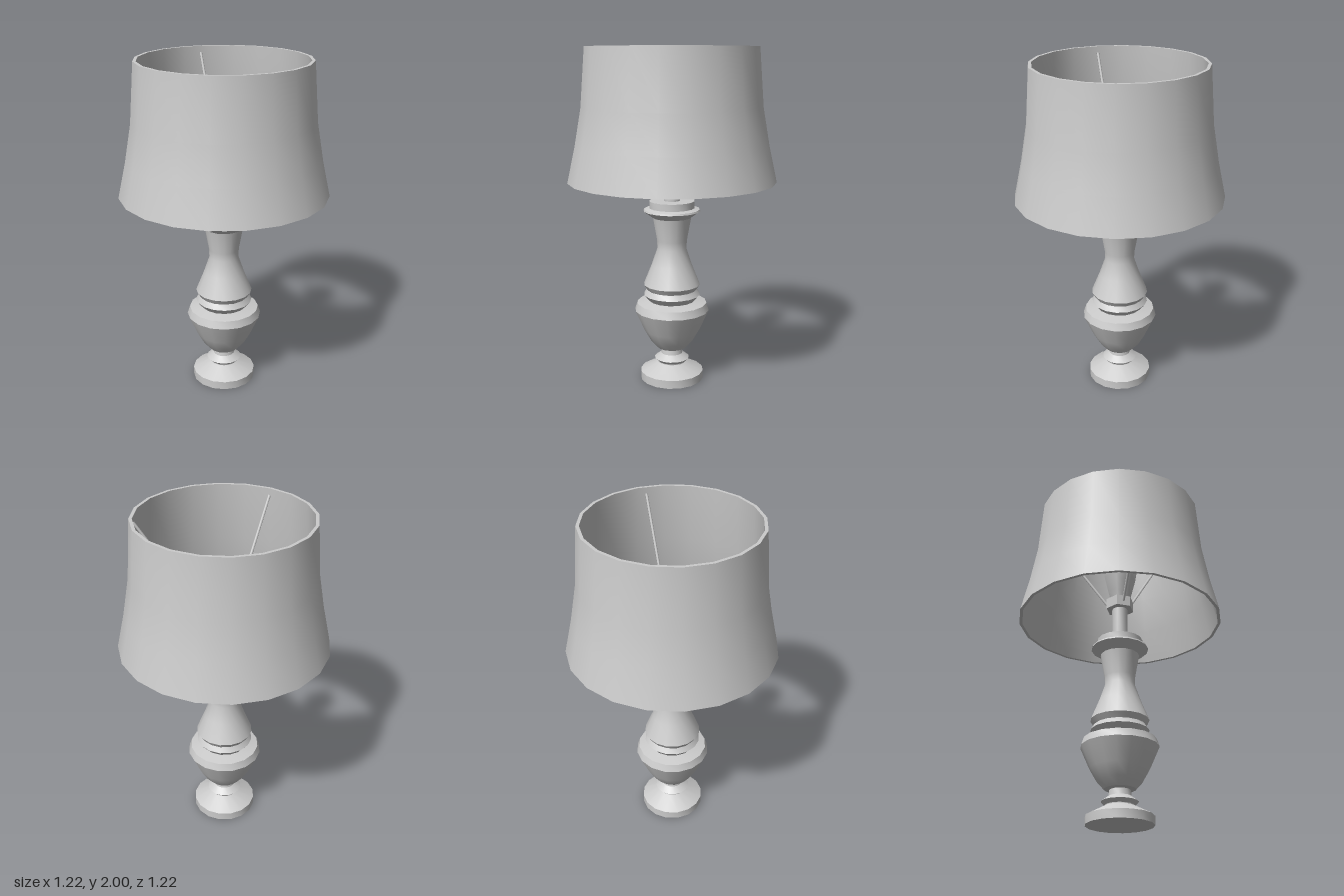
import * as THREE from 'three';
import { toCreasedNormals } from 'three/addons/utils/BufferGeometryUtils.js';

const material = new THREE.MeshStandardMaterial({ color: 0xcccccc });

// Turned part from a [radius, height] profile, with sharp ridges kept sharp
function turned(name, sides, profile, crease = 0.6) {
  const points = profile.map(([r, y]) => new THREE.Vector2(r, y));
  const geometry = toCreasedNormals(new THREE.LatheGeometry(points, sides), crease);
  const mesh = new THREE.Mesh(geometry, material);
  mesh.name = name;
  return mesh;
}

// Thin rod between two points
function rod(name, from, to, radius) {
  const direction = to.clone().sub(from);
  const mesh = new THREE.Mesh(new THREE.CylinderGeometry(radius, radius, direction.length(), 6), material);
  mesh.position.copy(from).add(to).multiplyScalar(0.5);
  mesh.quaternion.setFromUnitVectors(new THREE.Vector3(0, 1, 0), direction.normalize());
  mesh.name = name;
  return mesh;
}

export function createModel() {
  const lamp = new THREE.Group();
  lamp.name = 'tableLamp';

  // Foot, waist ring, belly, double ridge, neck and cap
  lamp.add(turned('turnedBase', 16, [
    [0, 0], [0.192, 0], [0.192, 0.05], [0.085, 0.105],
    [0.085, 0.11], [0.105, 0.13], [0.065, 0.16], [0.06, 0.195],
    [0.09, 0.2], [0.13, 0.245], [0.17, 0.315], [0.225, 0.44], [0.21, 0.485],
    [0.14, 0.5], [0.17, 0.537], [0.15, 0.568], [0.17, 0.6],
    [0.122, 0.72], [0.088, 0.82], [0.09, 0.87], [0.115, 1.01],
    [0.17, 1.05], [0.166, 1.06], [0.135, 1.068], [0.135, 1.11], [0, 1.11],
  ]));

  // Stem up to the lamp holder
  lamp.add(turned('stem', 10, [[0.047, 1.1], [0.047, 1.35]], 0.8));

  // Six-sided holder collar and bulb
  const collar = turned('holderCollar', 6, [[0, 1.32], [0.085, 1.32], [0.085, 1.385], [0, 1.385]]);
  const bulb = turned('bulb', 6, [
    [0.06, 1.38], [0.075, 1.44], [0.1, 1.54], [0.11, 1.6],
    [0.1, 1.66], [0.065, 1.7], [0, 1.72],
  ], 1.3);
  collar.rotation.y = bulb.rotation.y = Math.PI / 6;
  lamp.add(collar, bulb);

  // Three struts from the collar to the upper rim of the shade
  for (let i = 0; i < 3; i++) {
    const angle = (i * Math.PI * 2) / 3;
    const at = (r, y) => new THREE.Vector3(r * Math.sin(angle), y, r * Math.cos(angle));
    lamp.add(rod('shadeStrut' + (i + 1), at(0.07, 1.35), at(0.482, 1.96), 0.008));
  }

  // Flared shade with a thin wall
  const outer = [[0.612, 1.23], [0.565, 1.44], [0.526, 1.66], [0.499, 2]];
  const inner = outer.map(([r, y]) => [r - 0.018, y]).reverse();
  lamp.add(turned('shade', 20, [...outer, ...inner, outer[0]]));

  return lamp;
}
